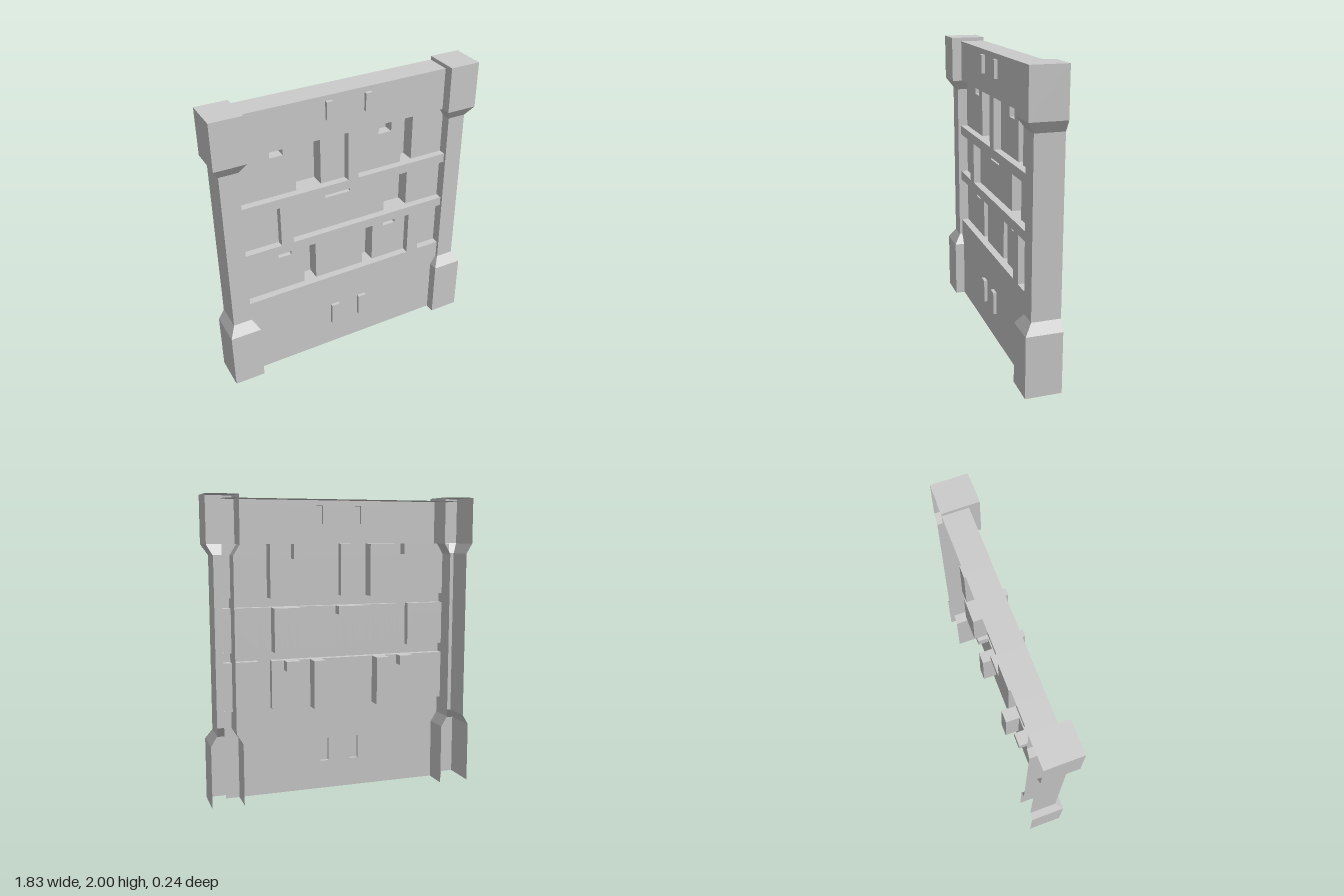
import * as THREE from 'three';

const BACK = -0.12, FRAME = 0.05, PANEL = 0, DEEP = -0.095, NOTCH = -0.07, STUD = 0.073;
const END = 0.8, TOP = 1.975;

// Collects quads (corners counter-clockwise) into one hard-edged mesh
function quadMesh(name, build) {
  const pos = [];
  build((a, b, c, d) => pos.push(...a, ...b, ...c, ...a, ...c, ...d));
  const geo = new THREE.BufferGeometry();
  geo.setAttribute('position', new THREE.Float32BufferAttribute(pos, 3));
  geo.computeVertexNormals();
  const mat = new THREE.MeshStandardMaterial({ color: 0xcccccc, flatShading: true, side: THREE.DoubleSide });
  const mesh = new THREE.Mesh(geo, mat);
  mesh.name = name;
  return mesh;
}

// Wall as stepped relief: rectangles [x0, x1, y0, y1, z], later ones on top
const relief = [
  // frame
  [-END, END, 0, TOP, FRAME],
  // upper row: panels either side of a flush bar, deep slots, notches
  [-END, 0, 1.345, 1.69, PANEL], [0.075, END, 1.345, 1.69, PANEL],
  [-0.35, -0.175, 1.345, 1.69, DEEP], [0.425, 0.51, 1.345, 1.69, DEEP],
  [-0.52, -0.43, 1.62, 1.69, NOTCH], [0.25, 0.345, 1.595, 1.69, NOTCH],
  // middle row
  [-END, -0.49, 0.99, 1.28, PANEL], [-0.405, END, 0.99, 1.28, PANEL],
  [0.305, 0.485, 0.99, 1.28, DEEP], [-0.145, 0.04, 1.225, 1.28, NOTCH],
  // lower row
  [-END, 0.485, 0.6, 0.925, PANEL], [0.575, END, 0.6, 0.925, PANEL],
  [-0.315, -0.225, 0.6, 0.925, DEEP], [0.14, 0.22, 0.6, 0.925, DEEP],
  [-0.5, -0.405, 0.86, 0.925, NOTCH], [0.305, 0.4, 0.86, 0.925, NOTCH],
  // raised studs, hollow behind
  [-0.16, -0.115, 1.82, 1.94, STUD], [0.11, 0.155, 1.82, 1.94, STUD],
  [-0.14, -0.08, 0.195, 0.355, STUD], [0.075, 0.135, 0.195, 0.355, STUD],
];

function wall() {
  const lines = (i) => [...new Set(relief.flatMap((r) => [r[i], r[i + 1]]))].sort((a, b) => a - b);
  const xs = lines(0), ys = lines(2);
  const depth = (i, j) => {
    if (j > ys.length - 2) return BACK; // closes the top edge
    const x = (xs[i] + xs[i + 1]) / 2, y = (ys[j] + ys[j + 1]) / 2;
    return relief.findLast(([x0, x1, y0, y1]) => x > x0 && x < x1 && y > y0 && y < y1)[4];
  };
  return quadMesh('wallPanel', (quad) => {
    for (let i = 0; i < xs.length - 1; i++) {
      for (let j = 0; j < ys.length - 1; j++) {
        const [x0, x1, y0, y1] = [xs[i], xs[i + 1], ys[j], ys[j + 1]];
        const z = depth(i, j), above = depth(i, j + 1);
        quad([x0, y0, z], [x1, y0, z], [x1, y1, z], [x0, y1, z]);
        if (above !== z) quad([x0, y1, z], [x1, y1, z], [x1, y1, above], [x0, y1, above]);
        if (i < xs.length - 2) {
          const next = depth(i + 1, j);
          if (next !== z) quad([x1, y0, z], [x1, y0, next], [x1, y1, next], [x1, y1, z]);
        }
      }
    }
  });
}

// Pillar: channel open at the back and bottom, flared base and head
function pillar(name, side) {
  const block = [0.707, 0.917, 0.118], shaft = [0.75, 0.875, 0.07];
  const sections = [[0, block], [0.41, block], [0.48, shaft], [1.62, shaft], [1.69, block], [2, block]]
    .map(([y, [inner, outer, front]]) => {
      const [l, r] = [inner * side, outer * side].sort((a, b) => a - b);
      return [[l, y, BACK], [l, y, front], [r, y, front], [r, y, BACK]];
    });
  return quadMesh(name, (quad) => {
    for (let s = 0; s < sections.length - 1; s++) {
      const lo = sections[s], hi = sections[s + 1];
      for (let k = 0; k < 3; k++) quad(lo[k], lo[k + 1], hi[k + 1], hi[k]);
    }
    const [a, b, c, d] = sections.at(-1);
    quad(b, c, d, a);
  });
}

export function createModel() {
  const model = new THREE.Group();
  model.name = 'wallSection';
  model.add(wall(), pillar('leftPillar', 1), pillar('rightPillar', -1));
  return model;
}
